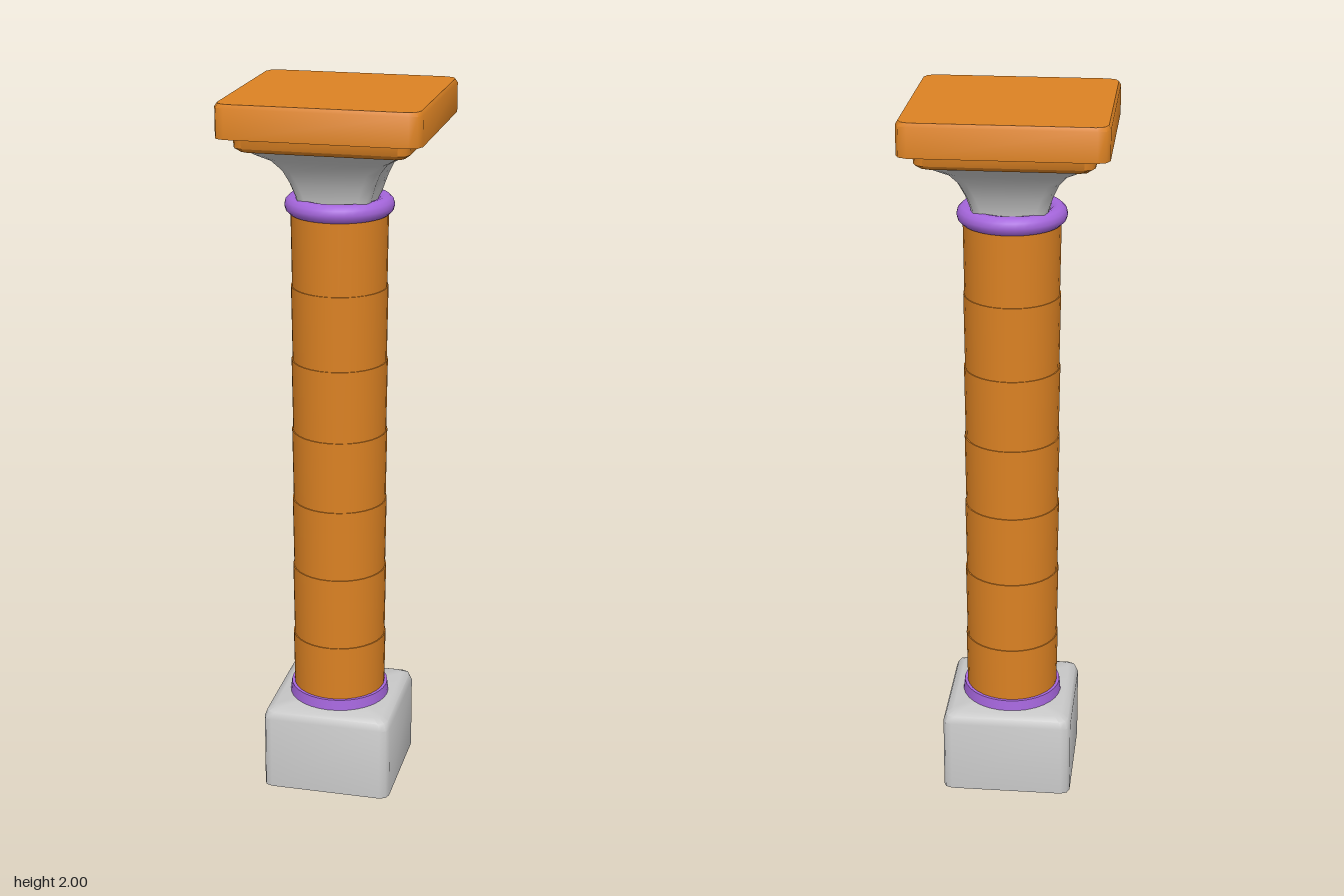
import * as THREE from 'three';
import { toCreasedNormals } from 'three/addons/utils/BufferGeometryUtils.js';

// Stack of square sections with rounded corners: each level is [y, halfWidth, cornerRadius]
function squareLoft(levels, cornerSteps = 2) {
  const pos = [], idx = [], n = 4 * (cornerSteps + 1);
  for (const [y, half, r] of levels) {
    for (let c = 0; c < 4; c++) {
      const mid = (c + 0.5) * Math.PI / 2;
      const cx = Math.sign(Math.cos(mid)) * (half - r);
      const cz = Math.sign(Math.sin(mid)) * (half - r);
      for (let s = 0; s <= cornerSteps; s++) {
        const a = (c + s / cornerSteps) * Math.PI / 2;
        pos.push(cx + r * Math.cos(a), y, cz + r * Math.sin(a));
      }
    }
  }
  for (let l = 0; l < levels.length - 1; l++) {
    for (let j = 0; j < n; j++) {
      const a = l * n + j, b = l * n + (j + 1) % n;
      idx.push(a, a + n, b, b, a + n, b + n);
    }
  }
  // flat caps
  const top = (levels.length - 1) * n, centre = levels.length * n;
  pos.push(0, levels[0][0], 0, 0, levels[levels.length - 1][0], 0);
  for (let j = 0; j < n; j++) {
    const k = (j + 1) % n;
    idx.push(centre, j, k, centre + 1, top + k, top + j);
  }
  const geo = new THREE.BufferGeometry();
  geo.setAttribute('position', new THREE.Float32BufferAttribute(pos, 3));
  geo.setIndex(idx);
  return toCreasedNormals(geo, 0.85);
}

export function createModel() {
  const column = new THREE.Group();
  column.name = 'column';
  const material = (name, color) => {
    const m = new THREE.MeshStandardMaterial({ color });
    m.name = name;
    return m;
  };
  const orange = material('orange stone', 0xdc8223);
  const grey = material('grey stone', 0xc8c8c8);
  const purple = material('purple trim', 0xa566dc);

  const add = (name, geo, mat, y = 0, parent = column) => {
    const mesh = new THREE.Mesh(geo, mat);
    mesh.name = name;
    mesh.position.y = y;
    parent.add(mesh);
    return mesh;
  };

  // Square plinth with softened top edge
  add('plinth', squareLoft([
    [0, 0.184, 0.025], [0.215, 0.184, 0.025], [0.235, 0.177, 0.025], [0.245, 0.157, 0.02],
  ]), grey);

  // Collar at the foot of the shaft
  add('lowerCollar', new THREE.CylinderGeometry(0.139, 0.143, 0.035, 32), purple, 0.258);

  // Shaft of stacked drums, each a little wider at its top edge
  const shaft = new THREE.Group();
  shaft.name = 'shaft';
  column.add(shaft);
  const joints = [0.25, 0.435, 0.645, 0.85, 1.055, 1.26, 1.47, 1.70];
  for (let i = 0; i < joints.length - 1; i++) {
    const h = joints[i + 1] - joints[i];
    add(`drum${i + 1}`, new THREE.CylinderGeometry(0.133, 0.13, h, 32), orange,
      joints[i] + h / 2, shaft);
  }

  // Rounded ring under the capital
  const ring = add('upperRing', new THREE.TorusGeometry(0.123, 0.026, 12, 40), purple, 1.695);
  ring.rotation.x = Math.PI / 2;

  // Flared square capital
  add('capital', squareLoft([
    [1.69, 0.1, 0.03], [1.725, 0.103, 0.03], [1.765, 0.116, 0.03],
    [1.805, 0.134, 0.03], [1.835, 0.158, 0.03], [1.855, 0.19, 0.03], [1.875, 0.217, 0.03],
  ]), grey);

  // Two-step slab on top
  add('lowerSlab', squareLoft([
    [1.868, 0.218, 0.025], [1.88, 0.233, 0.028], [1.912, 0.235, 0.028],
  ]), orange);
  add('topSlab', squareLoft([
    [1.91, 0.272, 0.031], [1.99, 0.272, 0.031], [2, 0.266, 0.03],
  ]), orange);

  return column;
}
